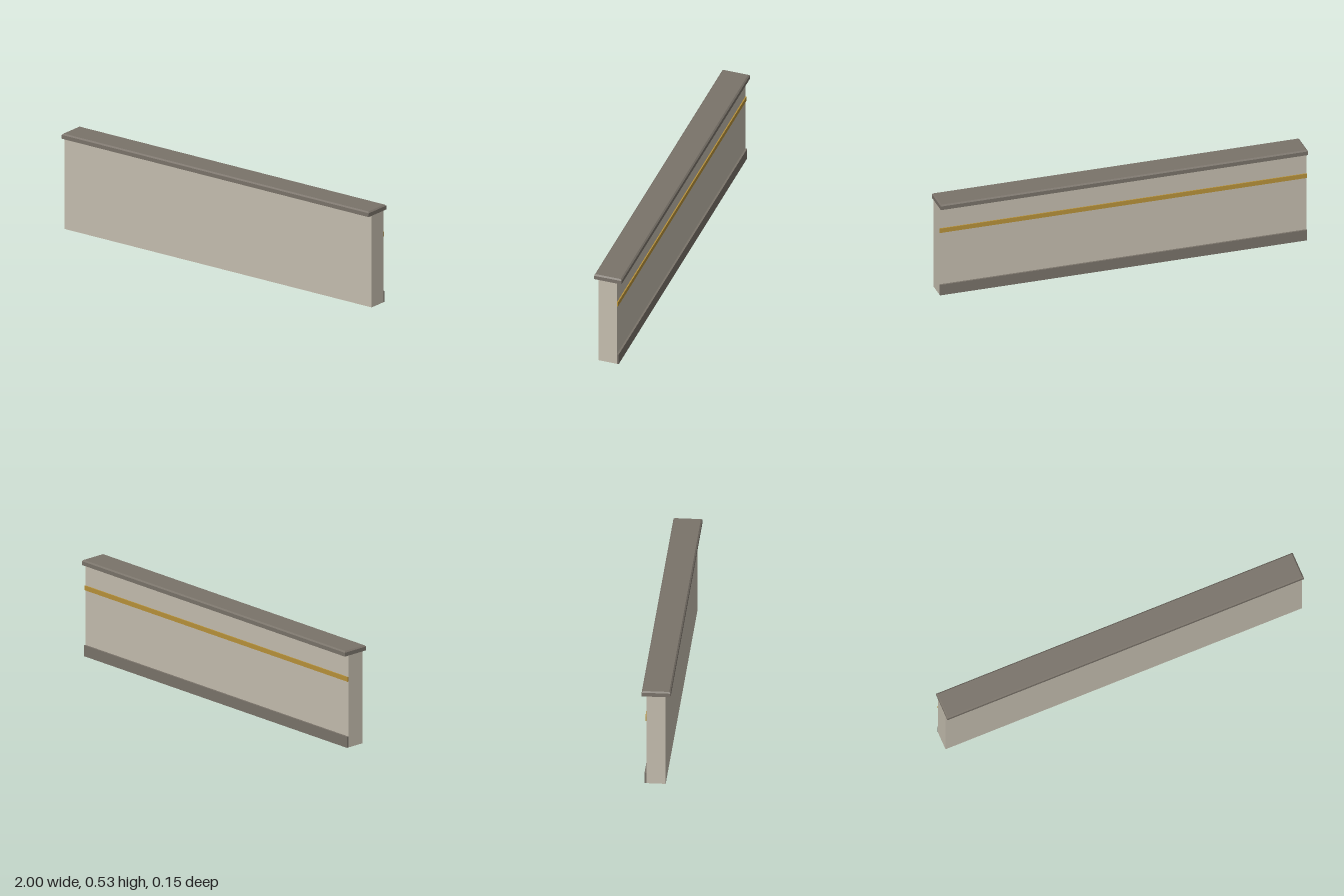
import * as THREE from 'three';

const LENGTH = 2;

function material(name, color) {
  const m = new THREE.MeshStandardMaterial({ color });
  m.name = name;
  return m;
}

// Full-length box given by its y and z ranges
function bar(name, mat, y0, y1, z0, z1) {
  const mesh = new THREE.Mesh(new THREE.BoxGeometry(LENGTH, y1 - y0, z1 - z0), mat);
  mesh.position.set(0, (y0 + y1) / 2, (z0 + z1) / 2);
  mesh.name = name;
  return mesh;
}

// Coping slab whose upper edge is chamfered on all four sides
function copingGeometry(y0, y1, depth, chamfer) {
  const box = new THREE.BoxGeometry(LENGTH, 2, depth, 1, 2, 1);
  const p = box.attributes.position;
  for (let i = 0; i < p.count; i++) {
    const level = Math.round(p.getY(i));
    const inset = level === 1 ? chamfer : 0;
    p.setXYZ(
      i,
      p.getX(i) - Math.sign(p.getX(i)) * inset,
      [y0, y1 - chamfer, y1][level + 1],
      p.getZ(i) - Math.sign(p.getZ(i)) * inset
    );
  }
  const flat = box.toNonIndexed();
  flat.computeVertexNormals();
  return flat;
}

export function createModel() {
  const plaster = material('warm plaster', 0xc4bdae);
  const stone = material('dark stone', 0x7a736a);
  const brass = material('brass', 0xb8923a);

  const group = new THREE.Group();
  group.name = 'lowWall';

  // Wall body
  group.add(bar('wall', plaster, 0, 0.502, -0.05, 0.05));

  // Overhanging coping
  const coping = new THREE.Mesh(copingGeometry(0.502, 0.53, 0.15, 0.007), stone);
  coping.name = 'coping';
  group.add(coping);

  // Skirting and trim strip on the back face
  group.add(bar('skirting', stone, 0, 0.06, -0.06, -0.05));
  group.add(bar('trimStrip', brass, 0.36, 0.385, -0.056, -0.05));

  return group;
}
